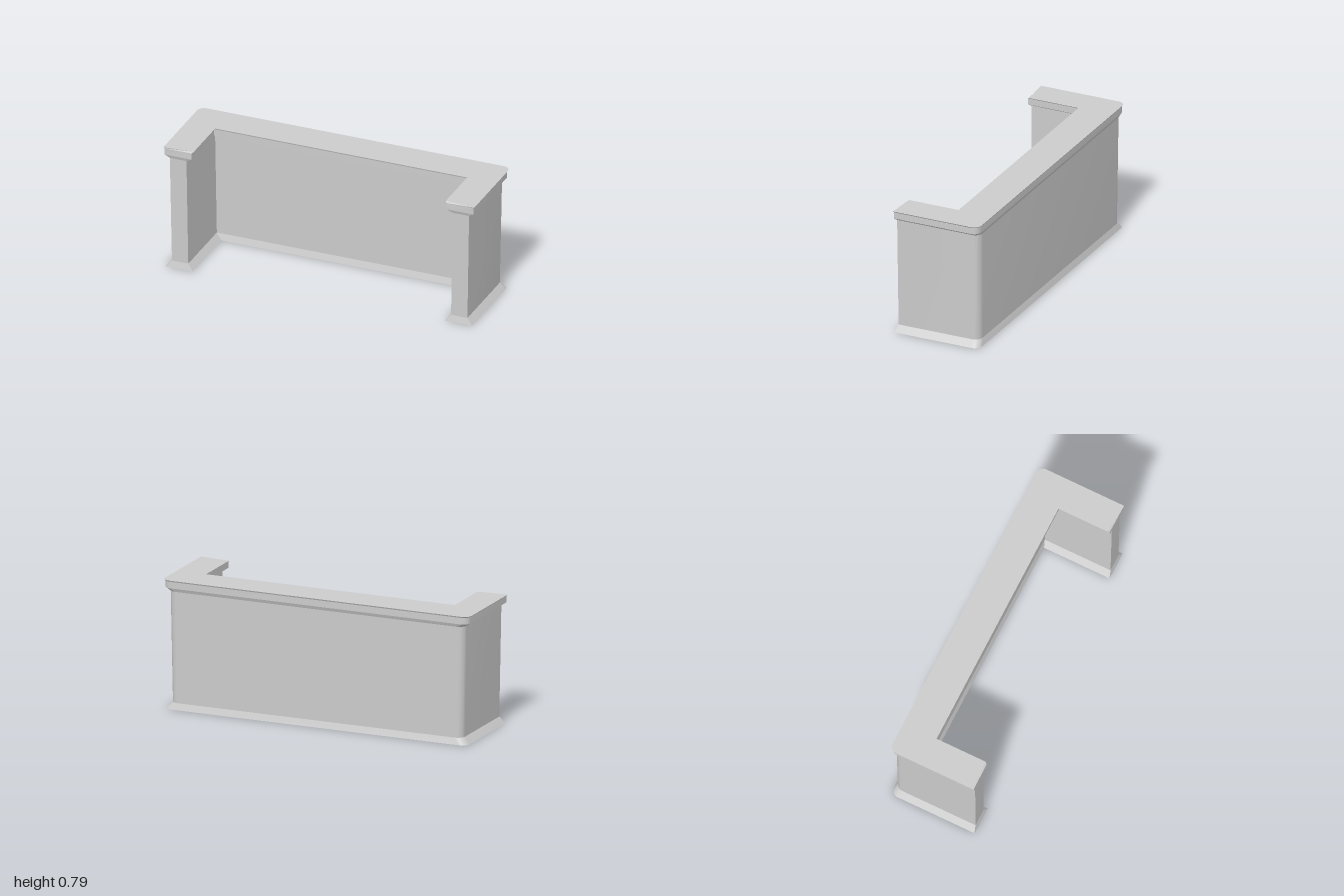
import * as THREE from 'three';
import { toCreasedNormals } from 'three/addons/utils/BufferGeometryUtils.js';

// Height levels: y, outer x, inner x, front z, back z, inner back z, front z at the inner corners
const LEVELS = [
  [0, 0.985, 0.81, 0.278, -0.277, -0.155, 0.278],
  [0.04, 0.95, 0.845, 0.267, -0.264, -0.168, 0.267],
  [0.725, 0.962, 0.855, 0.271, -0.269, -0.165, 0.271],
  [0.745, 0.992, 0.82, 0.278, -0.276, -0.063, 0.278],
  [0.785, 0.992, 0.82, 0.278, -0.276, -0.063, 0.276],
  [0.793, 1.0, 0.81, 0.28, -0.28, -0.06, 0.264],
];
const CORNER_STEPS = 8;

// U-shaped outline with rounded back corners, as [x, z] points
function outline([, ox, ix, front, back, inner, innerFront]) {
  const rx = 0.05, rz = 0.045;
  const right = [[ox, front]];
  for (let i = 0; i <= CORNER_STEPS; i++) {
    const a = (i / CORNER_STEPS) * Math.PI / 2;
    right.push([ox - rx + rx * Math.cos(a), back + rz - rz * Math.sin(a)]);
  }
  const left = right.map(([x, z]) => [-x, z]).reverse();
  return [...right, ...left, [-ix, innerFront], [-ix, inner], [ix, inner], [ix, innerFront]];
}

// Skin joining the outlines of successive levels
function skin(levels) {
  const positions = [], index = [];
  const n = outline(levels[0]).length;
  levels.forEach((level, k) => {
    outline(level).forEach(([x, z]) => positions.push(x, level[0], z));
    if (k === 0) return;
    for (let j = 0; j < n; j++) {
      const a = (k - 1) * n + j, b = (k - 1) * n + (j + 1) % n;
      index.push(a, b, b + n, a, b + n, a + n);
    }
  });
  const geometry = new THREE.BufferGeometry();
  geometry.setAttribute('position', new THREE.Float32BufferAttribute(positions, 3));
  geometry.setIndex(index);
  return toCreasedNormals(geometry, 0.24);
}

export function createModel() {
  const group = new THREE.Group();
  group.name = 'counter';
  const material = new THREE.MeshStandardMaterial({ color: 0xcccccc, side: THREE.DoubleSide });

  // Hollow body, open underneath: flared base, walls and overhanging top moulding
  const body = new THREE.Mesh(skin(LEVELS), material);
  body.name = 'counterBody';
  group.add(body);

  // Flat top surface
  const top = LEVELS[LEVELS.length - 1];
  const shape = new THREE.Shape(outline(top).map(([x, z]) => new THREE.Vector2(x, -z)));
  const surface = new THREE.Mesh(new THREE.ShapeGeometry(shape).rotateX(-Math.PI / 2), material);
  surface.position.y = top[0];
  surface.name = 'counterTop';
  group.add(surface);

  return group;
}
